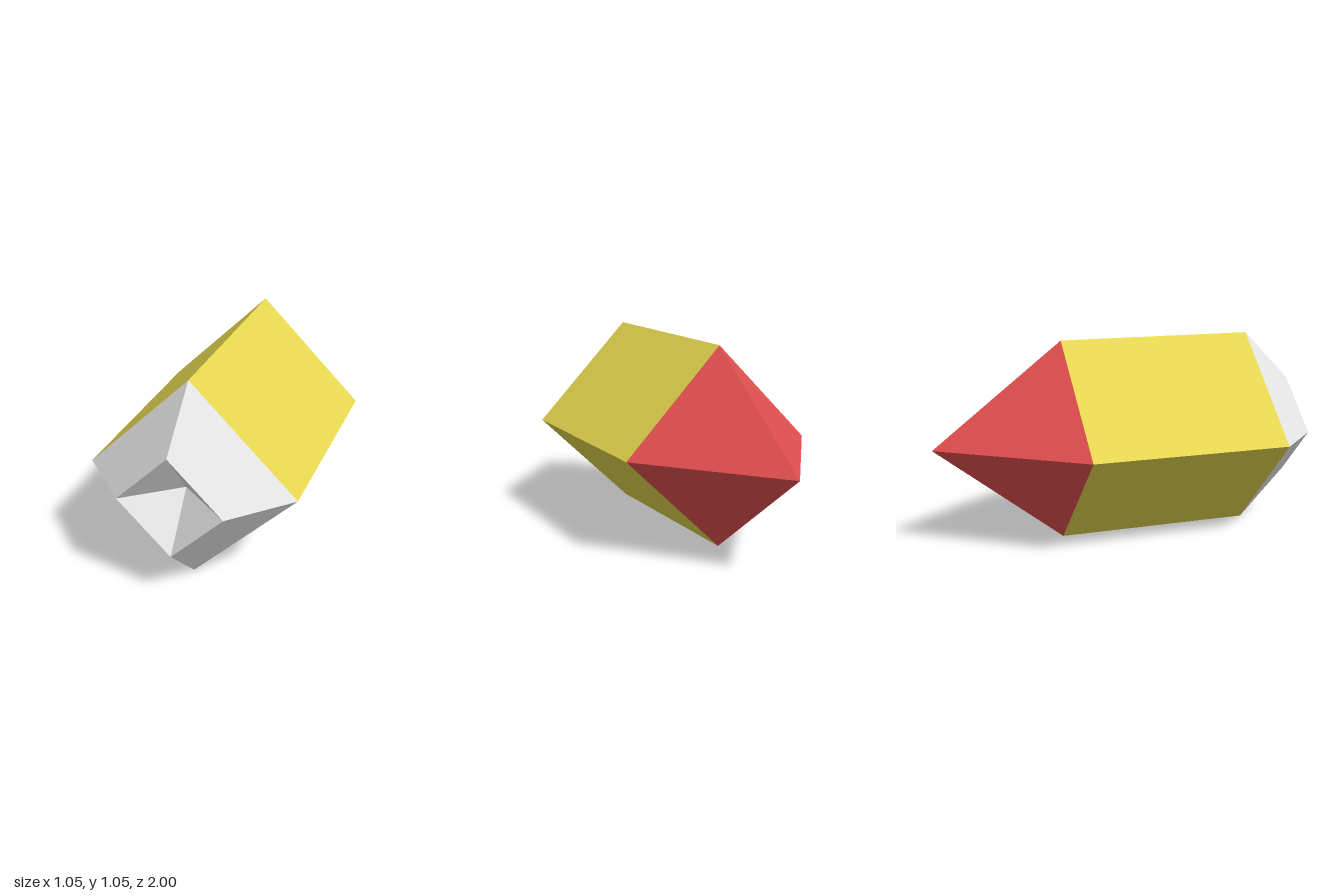
import * as THREE from 'three';

const R = 0.527;       // corner radius of the square prism
const TIP = -1, SHOULDER = -0.32, COLLAR = 0.736, FRONT = 1;

export function createModel() {
  const model = new THREE.Group();
  model.name = 'pointedPrism';

  const material = (name, color) => {
    const m = new THREE.MeshStandardMaterial({ color, flatShading: true });
    m.name = name;
    return m;
  };

  // Four-sided part from a [radius, z] profile running from back to front
  const addPart = (name, profile, mat) => {
    const points = profile.map(([r, z]) => new THREE.Vector2(r, z));
    const geometry = new THREE.LatheGeometry(points, 4);
    geometry.rotateX(Math.PI / 2); // profile axis becomes z
    const mesh = new THREE.Mesh(geometry, mat);
    mesh.name = name;
    mesh.position.y = R;
    model.add(mesh);
  };

  // Pyramid point at the back
  addPart('tip', [[0, TIP], [R, SHOULDER]], material('red', 0xe04e4e));

  // Square body standing on its edge
  addPart('body', [[R, SHOULDER], [R, COLLAR]], material('yellow', 0xe5d64f));

  // Bevelled collar at the front with a sunken pyramid inside its rim
  const grey = material('light grey', 0xe4e4e4);
  addPart('collar', [[R, COLLAR], [R / 2, FRONT]], grey);
  addPart('recess', [[R / 2, FRONT], [0, 0.797]], grey);

  return model;
}
